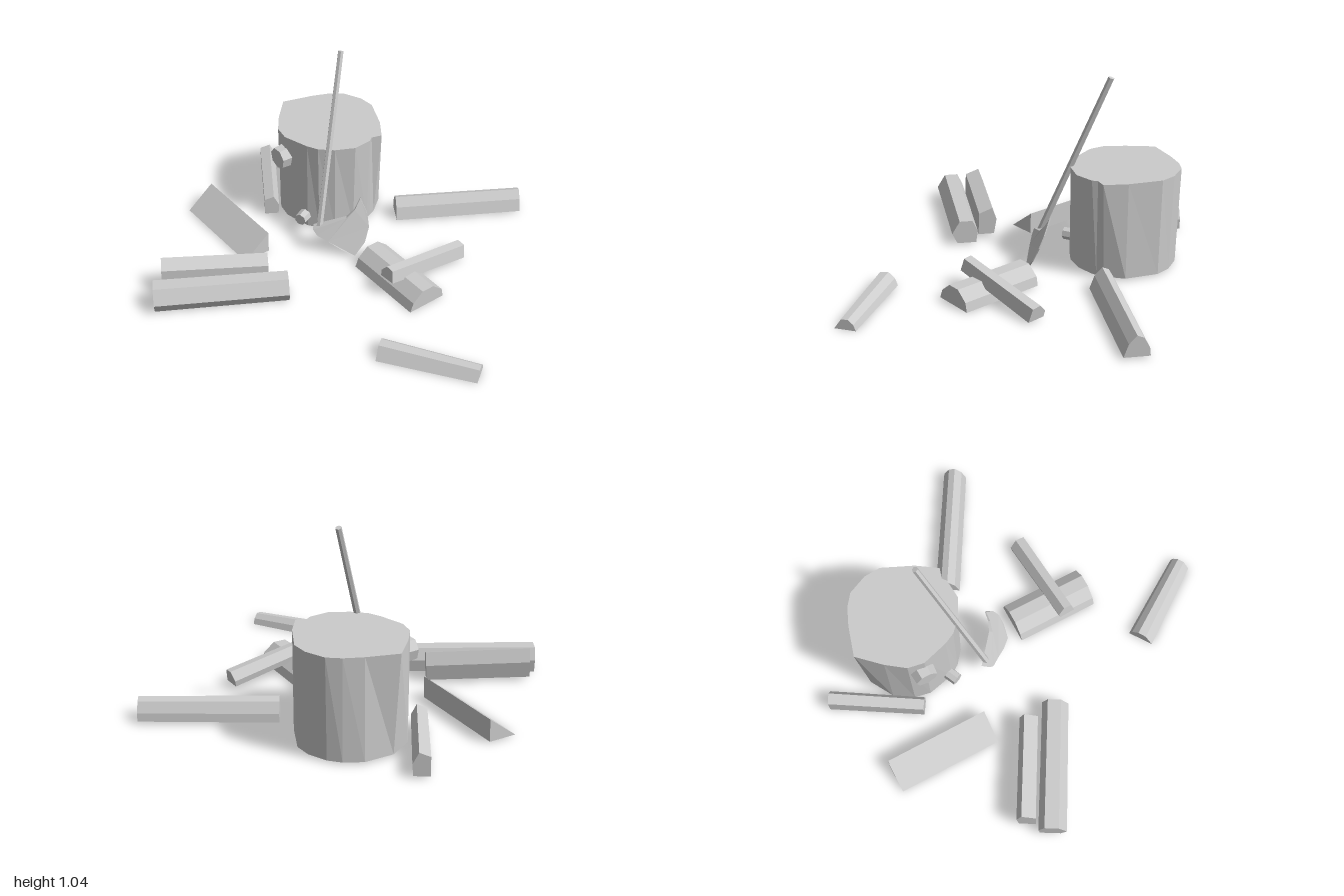
import * as THREE from 'three';

const material = new THREE.MeshStandardMaterial({ color: 0xcccccc, flatShading: true });

function addMesh(parent, name, geometry) {
  geometry.computeVertexNormals();
  const mesh = new THREE.Mesh(geometry, material);
  mesh.name = name;
  parent.add(mesh);
  return mesh;
}

// Prism over a 2D outline, running along +z
function prism(points, depth) {
  const shape = new THREE.Shape(points.map(([x, y]) => new THREE.Vector2(x, y)));
  return new THREE.ExtrudeGeometry(shape, { depth, bevelEnabled: false });
}

// Move every vertex by a rule
function reshape(geometry, rule) {
  const p = geometry.attributes.position;
  const v = new THREE.Vector3();
  for (let i = 0; i < p.count; i++) {
    rule(v.fromBufferAttribute(p, i));
    p.setXYZ(i, v.x, v.y, v.z);
  }
  return geometry;
}

// Split log: a cross-section carried from one end point to the other
function addLog(parent, name, from, to, profile, taper = 1) {
  const a = new THREE.Vector3(...from), b = new THREE.Vector3(...to);
  const length = a.distanceTo(b);
  const geometry = reshape(prism(profile, length), (v) => {
    const k = 1 + (taper - 1) * v.z / length;
    v.x *= k;
    v.y *= k;
  });
  const log = addMesh(parent, name, geometry);
  log.position.copy(a);
  log.lookAt(b);
}

// Round bar between two points
function addBar(parent, name, from, to, r0, r1, sides) {
  const a = new THREE.Vector3(...from), b = new THREE.Vector3(...to);
  const bar = addMesh(parent, name, new THREE.CylinderGeometry(r1, r0, a.distanceTo(b), sides));
  bar.position.copy(a).add(b).multiplyScalar(0.5);
  bar.quaternion.setFromUnitVectors(new THREE.Vector3(0, 1, 0), b.sub(a).normalize());
}

export function createModel() {
  const model = new THREE.Group();
  model.name = 'choppingBlockWithAxe';

  // Chopping block: irregular sawn top, rounder at the foot
  const rim = [
    [-0.34, -0.76], [-0.36, -0.6], [-0.36, -0.48], [-0.32, -0.4], [-0.2, -0.31], [-0.14, -0.28],
    [-0.05, -0.27], [0.06, -0.29], [0.14, -0.36], [0.15, -0.39], [0.205, -0.41], [0.2, -0.54],
    [0.16, -0.72], [0.1, -0.79], [0, -0.845], [-0.08, -0.845], [-0.18, -0.82],
  ];
  const stump = prism(rim.map(([x, z]) => [x, -z]), 0.53).rotateX(-Math.PI / 2);
  reshape(stump, (v) => {
    if (v.y < 0.1) {
      const angle = Math.atan2(v.z + 0.56, v.x + 0.085);
      v.x = -0.085 + 0.285 * Math.cos(angle);
      v.z = -0.56 + 0.285 * Math.sin(angle);
    }
    v.y += 0.01;
  });
  addMesh(model, 'stump', stump);

  // Cut branch stubs on the block
  addBar(model, 'upperStub', [-0.28, 0.41, -0.45], [-0.365, 0.41, -0.385], 0.07, 0.06, 7);
  addBar(model, 'lowerStub', [-0.19, 0.08, -0.36], [-0.245, 0.08, -0.26], 0.036, 0.034, 7);

  // Axe
  const axe = new THREE.Group();
  axe.name = 'axe';
  model.add(axe);
  addBar(axe, 'axeHandle', [-0.14, 0.11, -0.105], [-0.015, 1.035, -0.465], 0.019, 0.016, 6);
  const bladeOutline = [
    [-0.17, 0.145], [-0.15, 0.115], [-0.09, 0.085], [-0.02, 0.045], [0.055, 0.01],
    [0.11, 0.08], [0.132, 0.16], [0.122, 0.23], [0.085, 0.31], [0.055, 0.25], [0.01, 0.21], [-0.1, 0.17],
  ];
  // Thick at the eye, thin at the edge, leaning with the handle
  const blade = reshape(prism(bladeOutline, 1), (v) => {
    const half = 0.003 + 0.022 * Math.max(0, 1 - (v.x + 0.17) / 0.26);
    v.z = -0.03 - 0.4 * v.y + 0.15 * Math.min(0, v.x) + (v.z > 0.5 ? half : -half);
  });
  addMesh(axe, 'axeHead', blade);

  // Split firewood scattered around the block
  const logs = new THREE.Group();
  logs.name = 'firewood';
  model.add(logs);
  addLog(logs, 'logBehind', [-0.455, 0.01, -0.93], [-0.41, 0.01, -0.415],
    [[-0.04, 0], [0.04, 0], [0.045, 0.06], [0.015, 0.12], [-0.04, 0.1]], 0.95);
  addLog(logs, 'wedgeLog', [-0.82, 0.005, -0.5], [-0.475, 0.005, -0.04],
    [[-0.078, 0], [0.075, 0], [0.078, 0.12]]);
  addLog(logs, 'rightBackLog', [-0.96, 0.03, 0.225], [-0.41, 0.01, 0.16],
    [[-0.05, 0], [0.04, 0], [0.055, 0.09], [0.03, 0.16], [-0.045, 0.13]], 0.98);
  addLog(logs, 'rightFrontLog', [-0.985, 0.01, 0.365], [-0.295, 0.01, 0.285],
    [[-0.045, 0], [0.065, 0], [0.075, 0.07], [0.045, 0.135], [-0.03, 0.135], [-0.075, 0.06]], 0.95);
  addLog(logs, 'leftLog', [0.29, 0.01, -0.41], [0.995, 0.01, -0.485],
    [[-0.07, 0], [0.065, 0], [0.06, 0.045], [0.03, 0.1], [-0.005, 0.115], [-0.045, 0.07]], 0.96);
  addLog(logs, 'frontLog', [0.165, 0, 0.705], [0.645, 0, 0.875],
    [[-0.07, 0], [0.07, 0], [0.055, 0.04], [0.02, 0.07], [-0.025, 0.065]], 0.8);
  addLog(logs, 'crossedLowerLog', [0.145, 0, -0.015], [0.42, 0, 0.355],
    [[-0.11, 0], [0.11, 0], [0.1, 0.05], [0.04, 0.1], [-0.03, 0.1], [-0.09, 0.05]]);
  addLog(logs, 'crossedUpperLog', [0.215, 0.105, 0.28], [0.615, 0.01, -0.045],
    [[-0.045, 0], [0.045, 0], [0.05, 0.03], [0.015, 0.07], [-0.03, 0.065]], 1.1);

  return model;
}
